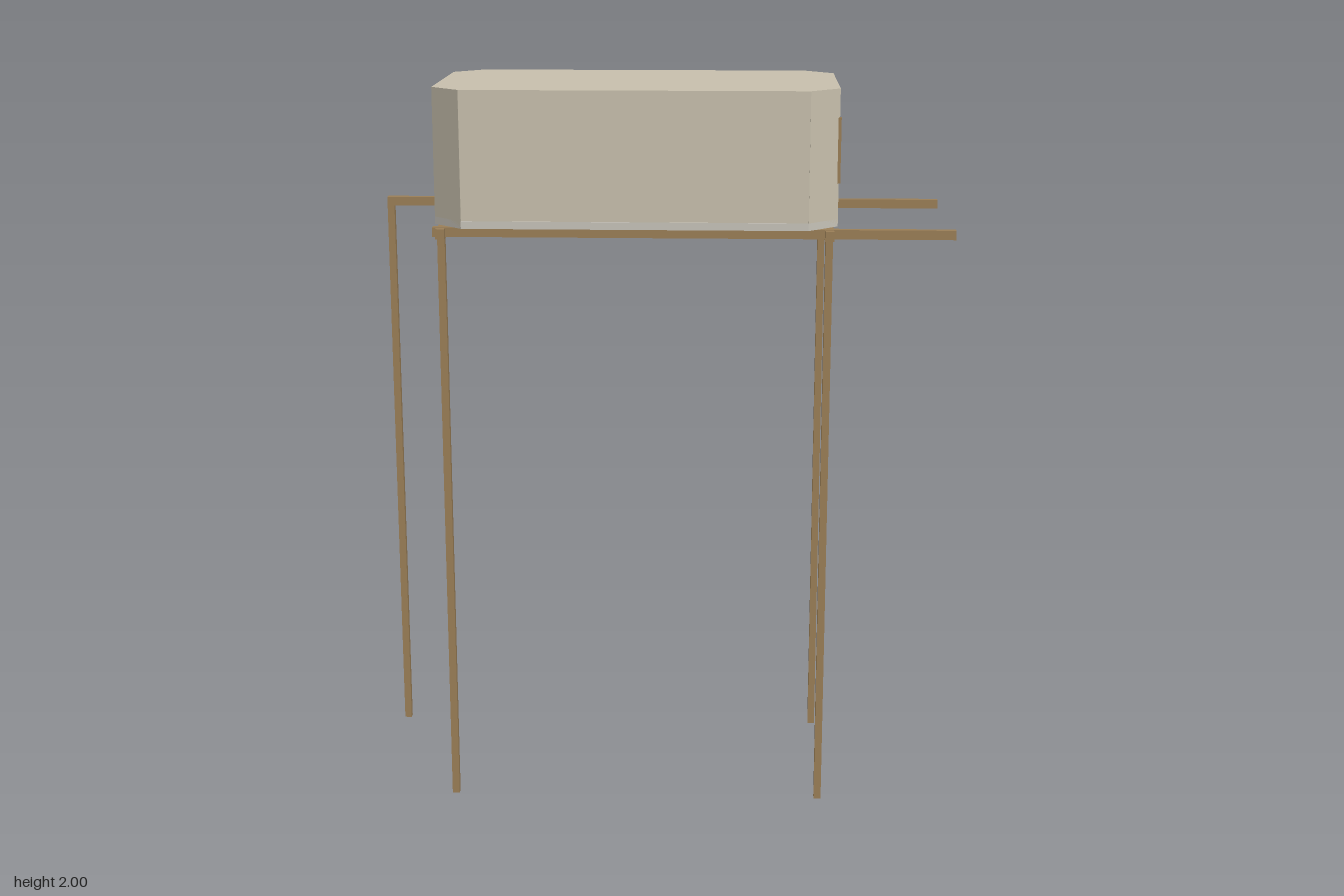
import * as THREE from 'three';

const mat = (name, color) => {
  const m = new THREE.MeshStandardMaterial({ color });
  m.name = name;
  return m;
};

export function createModel() {
  const model = new THREE.Group();
  model.name = 'stiltCabin';
  const beige = mat('beigeWall', 0xc9c1ae);
  const pale = mat('paleFloor', 0xc8c4ba);
  const wood = mat('wood', 0x9c8058);
  const brown = mat('darkBrown', 0x7a432f);
  const blue = mat('blueGlass', 0x82a8b0);

  // Box given by its limits on each axis
  const box = (name, m, [x0, x1], [y0, y1], [z0, z1], parent = model) => {
    const mesh = new THREE.Mesh(new THREE.BoxGeometry(x1 - x0, y1 - y0, z1 - z0), m);
    mesh.position.set((x0 + x1) / 2, (y0 + y1) / 2, (z0 + z1) / 2);
    mesh.name = name;
    parent.add(mesh);
    return mesh;
  };
  // Upright prism from an outline of [x, z] points
  const prism = (name, m, points, y0, y1) => {
    const shape = new THREE.Shape(points.map(([x, z]) => new THREE.Vector2(x, -z)));
    const geo = new THREE.ExtrudeGeometry(shape, { depth: y1 - y0, bevelEnabled: false });
    const mesh = new THREE.Mesh(geo.rotateX(-Math.PI / 2).translate(0, y0, 0), m);
    mesh.name = name;
    model.add(mesh);
  };

  const X0 = -0.59, X1 = 0.49, Z = 0.30, C = 0.08, T = 0.012;
  const FLOOR = 1.655, HEAD = 1.925, BASE = 1.635, TOP = 2;

  // Floor and roof with cut corners
  const octagon = [
    [X0 + C, Z], [X1 - C, Z], [X1, Z - C], [X1, C - Z],
    [X1 - C, -Z], [X0 + C, -Z], [X0, C - Z], [X0, Z - C],
  ];
  prism('floor', pale, octagon, BASE, FLOOR);
  prism('roof', beige, octagon, 1.985, TOP);

  for (const s of [1, -1]) {
    // Long walls, set slightly behind the corner panels
    const zs = [s * (Z - 0.004), s * (Z - 0.004 - T)].sort((a, b) => a - b);
    box('longWall', beige, [X0 + C, X1 - C], [BASE + 0.001, 1.986], zs);
    // Diagonal corner panels
    for (const [x, d] of [[X0, 1], [X1, -1]]) {
      prism('cornerPanel', beige, [
        [x, s * (Z - C)], [x + d * C, s * Z],
        [x + d * C, s * (Z - 0.016)], [x + d * 0.016, s * (Z - C)],
      ], BASE, 1.987);
    }
    // Door jambs
    const jamb = [s * 0.152, s * (Z - C)].sort((a, b) => a - b);
    box('doorJamb', beige, [X0, X0 + T], [BASE, 1.986], jamb);
  }
  box('doorHeader', beige, [X0, X0 + T], [HEAD, 1.986], [-0.152, 0.152]);

  // Glazed end
  box('windowHeader', beige, [X1 - T, X1], [HEAD, 1.986], [-0.22, 0.22]);
  box('windowPanel', brown, [X1 - T, X1], [FLOOR, 1.75], [-0.22, 0.22]);
  box('windowGlass', blue, [X1 - 0.009, X1 - 0.001], [1.75, HEAD], [-0.22, 0.22]);
  for (const z of [-0.22, 0, 0.22]) {
    box('windowPost', wood, [X1 - T, X1 + 0.004], [1.75, HEAD], [z - 0.004, z + 0.004]);
  }

  // Beams under the floor
  box('backBeam', wood, [-0.8, 0.8], [1.61, BASE], [-0.282, -0.26]);
  box('frontBeam', wood, [-0.59, 0.8], [1.61, BASE], [0.258, 0.28]);
  for (const x of [-0.567, 0.466]) {
    box('crossBeam', wood, [x - 0.012, x + 0.012], [1.607, 1.634], [-0.302, 0.302]);
  }

  // Legs; one back leg stands under the far end of the long beam
  for (const [x, z] of [[-0.567, 0.27], [0.466, 0.27], [-0.79, -0.27], [0.466, -0.27]]) {
    box('leg', wood, [x - 0.01, x + 0.01], [0, 1.62], [z - 0.01, z + 0.01]);
  }

  // Chair inside the doorway
  const chair = new THREE.Group();
  chair.name = 'chair';
  chair.position.set(-0.39, FLOOR, 0.15);
  box('chairSeat', brown, [-0.035, 0.035], [0.06, 0.07], [-0.035, 0.035], chair);
  box('chairBack', brown, [-0.035, 0.035], [0.095, 0.135], [0.027, 0.035], chair);
  for (const x of [-0.031, 0.031]) for (const z of [-0.031, 0.031]) {
    box('chairLeg', brown, [x - 0.004, x + 0.004], [0, z > 0 ? 0.135 : 0.06], [z - 0.004, z + 0.004], chair);
  }
  model.add(chair);

  return model;
}
